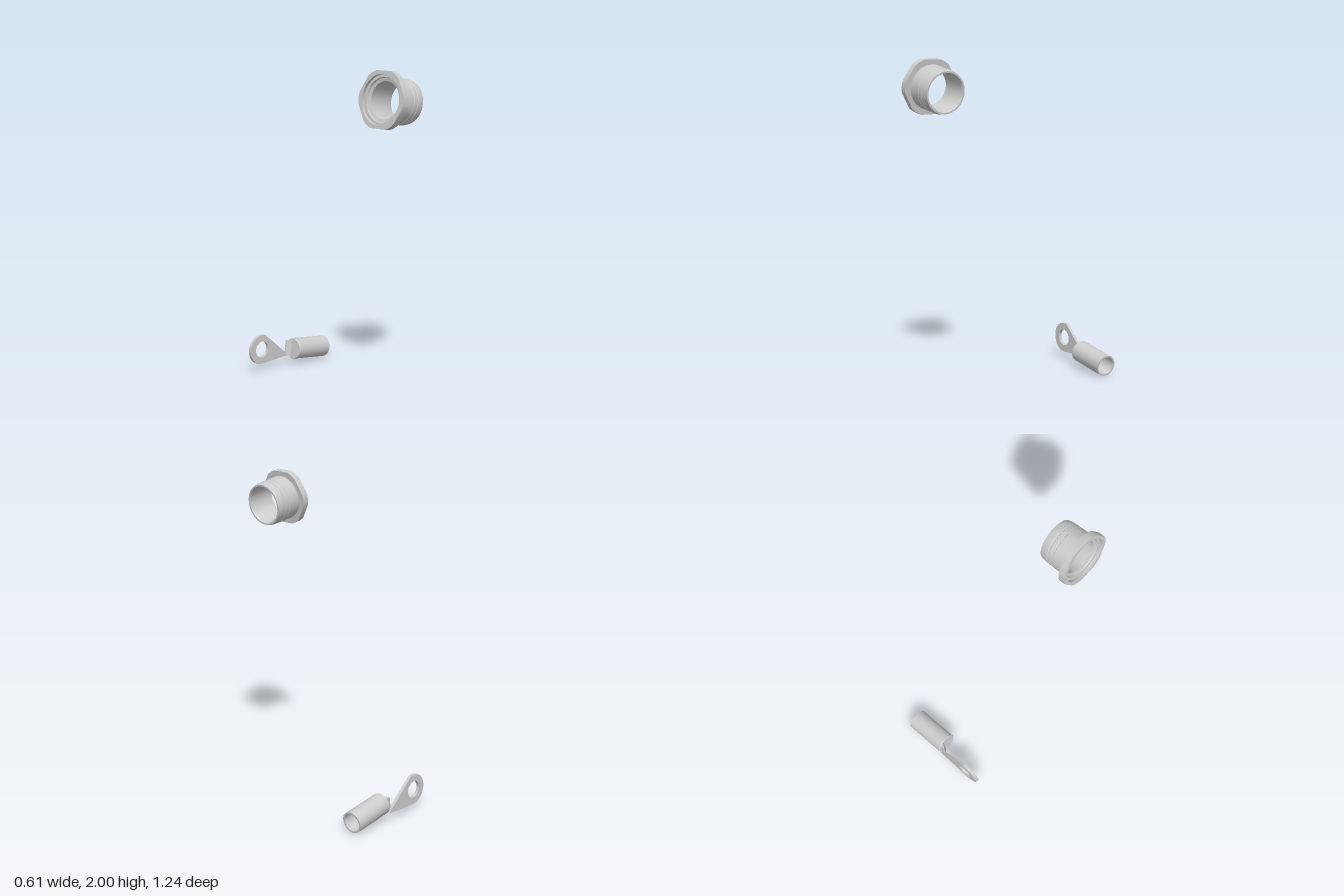
import * as THREE from 'three';
import { toCreasedNormals } from 'three/addons/utils/BufferGeometryUtils.js';

const material = new THREE.MeshStandardMaterial({ color: 0xcccccc });
const TILT = -0.145;

function addMesh(group, name, geometry) {
  const mesh = new THREE.Mesh(toCreasedNormals(geometry, 0.5), material);
  mesh.name = name;
  group.add(mesh);
  return mesh;
}

// Turned part along +x from [radius, distance] pairs
function turned(profile, segments) {
  const points = profile.map(([r, d]) => new THREE.Vector2(r, d));
  return new THREE.LatheGeometry(points, segments).rotateZ(-Math.PI / 2);
}

function circleHole(x, y, r) {
  return new THREE.Path().absarc(x, y, r, 0, Math.PI * 2, true);
}

// Threaded bushing with a hexagonal flange whose corners are turned round
function createBushing() {
  const group = new THREE.Group();
  group.name = 'bushing';

  const apothem = 0.166, radius = 0.175;
  const corner = Math.PI / 6 - Math.acos(apothem / radius);
  const outline = [];
  for (let k = 0; k < 6; k++) {
    for (let i = -2; i <= 2; i++) {
      const a = k * Math.PI / 3 + corner * i / 2;
      outline.push(new THREE.Vector2(radius * Math.cos(a), radius * Math.sin(a)));
    }
  }
  const shape = new THREE.Shape(outline);
  shape.holes.push(circleHole(0, 0, 0.148));
  addMesh(group, 'flange', new THREE.ExtrudeGeometry(shape, {
    depth: 0.042, bevelEnabled: false, curveSegments: 16,
  }).rotateY(Math.PI / 2));

  // Sleeve with shallow steps outside and a stepped bore
  addMesh(group, 'sleeve', turned([
    [0.148, 0.02], [0.148, 0.042], [0.137, 0.042], [0.137, 0.125],
    [0.134, 0.127], [0.134, 0.135], [0.136, 0.137], [0.136, 0.158],
    [0.133, 0.16], [0.133, 0.168], [0.135, 0.17], [0.135, 0.19],
    [0.129, 0.218], [0.119, 0.218], [0.111, 0.2], [0.109, 0.035],
    [0.128, 0.03], [0.131, 0.02], [0.148, 0.02],
  ], 32));

  group.position.set(-0.2, 1.836, 0.44);
  group.rotation.z = TILT;
  return group;
}

// Ring terminal: flat eyelet plate joined to a hollow barrel
function createRingTerminal() {
  const group = new THREE.Group();
  group.name = 'ringTerminal';

  addMesh(group, 'barrel', turned([
    [0, 0], [0.064, 0], [0.068, 0.005], [0.068, 0.273],
    [0.057, 0.273], [0.057, 0.03], [0, 0.03],
  ], 24));

  const eyeX = -0.236, tangent = 1.39;
  const plate = new THREE.Shape();
  plate.moveTo(0.003, 0.052);
  plate.absarc(eyeX, 0, 0.096, tangent, Math.PI * 2 - tangent, false);
  plate.lineTo(0.003, -0.052);
  plate.closePath();
  plate.holes.push(circleHole(eyeX, 0, 0.053));
  addMesh(group, 'eyeletPlate', new THREE.ExtrudeGeometry(plate, {
    depth: 0.02, bevelEnabled: false, curveSegments: 16,
  })).position.z = -0.06;

  // Sloped neck between plate and barrel
  const neck = new THREE.Shape([
    [-0.024, -0.05], [0.003, -0.05], [0.003, -0.014], [-0.024, -0.041],
  ].map(([x, z]) => new THREE.Vector2(x, z)));
  addMesh(group, 'neck', new THREE.ExtrudeGeometry(neck, {
    depth: 0.094, bevelEnabled: false,
  }).translate(0, 0, -0.047).rotateX(Math.PI / 2));

  group.position.set(0.024, 0.109, -0.552);
  group.rotation.z = TILT;
  return group;
}

export function createModel() {
  const model = new THREE.Group();
  model.name = 'cableFittings';
  model.add(createBushing(), createRingTerminal());
  return model;
}
